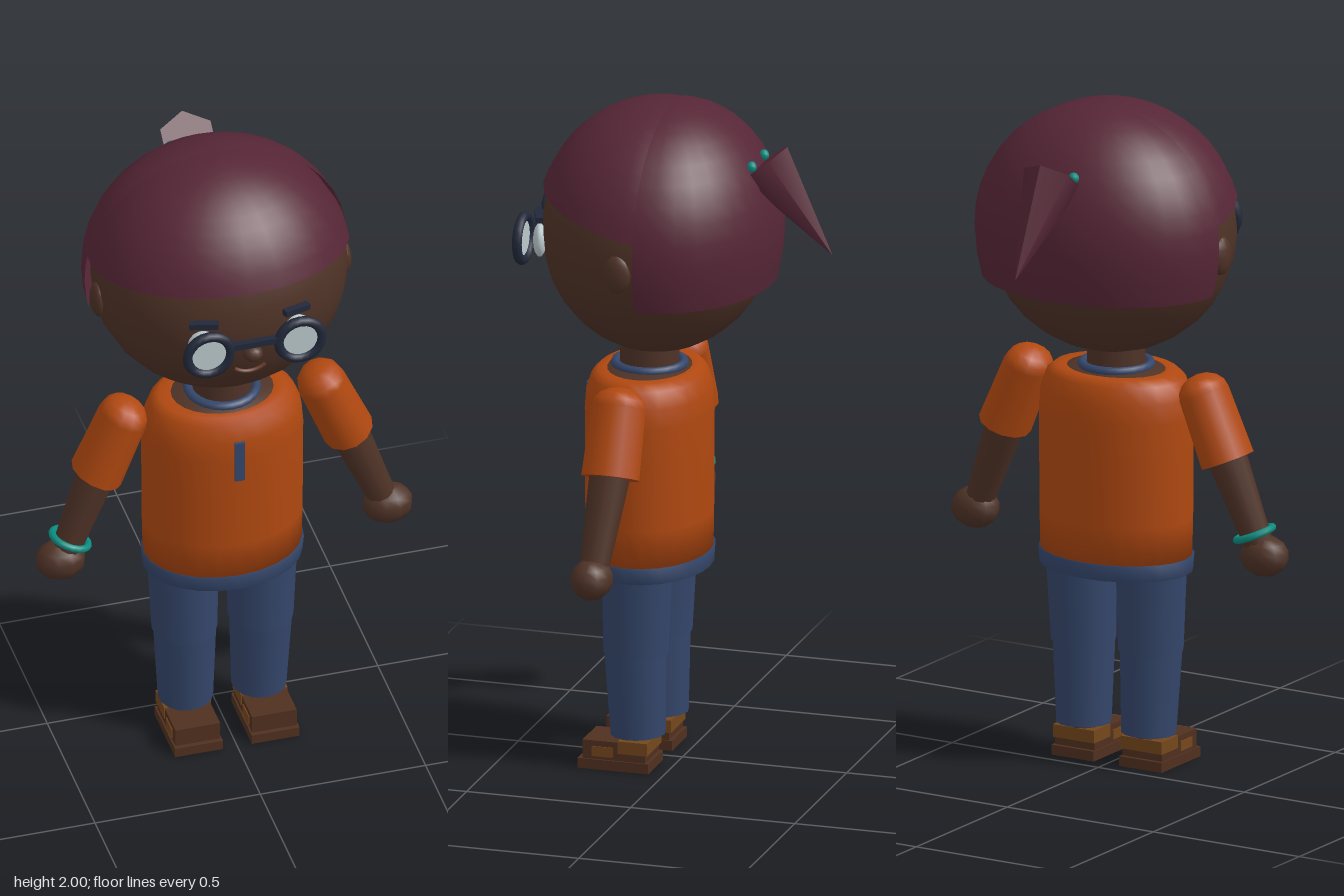
import * as THREE from 'three';

const mat = (name, color, side = THREE.FrontSide) => {
  const m = new THREE.MeshStandardMaterial({ color, side });
  m.name = name;
  return m;
};

export function createModel() {
  const model = new THREE.Group();
  model.name = 'child';
  const D = THREE.DoubleSide;
  const skin = mat('skin', 0x4e3226);
  const hair = mat('hair', 0x562636, D);
  const orange = mat('shirtOrange', 0xb04810, D);
  const denim = mat('denim', 0x34466a, D);
  const dark = mat('frameDark', 0x22283a);
  const light = mat('lensLight', 0xbac8cb, D);
  const teal = mat('teal', 0x0c8c80);
  const brown = mat('shoeBrown', 0x50301f);
  const tan = mat('strapTan', 0x74461c);
  const lip = mat('lip', 0x6a3a2c);

  const V = (x, y, z) => new THREE.Vector3(x, y, z);
  const UP = V(0, 1, 0);

  const add = (name, geo, material, x = 0, y = 0, z = 0, parent = model) => {
    const m = new THREE.Mesh(geo, material);
    m.name = name;
    m.position.set(x, y, z);
    parent.add(m);
    return m;
  };
  const box = (name, w, h, d, material, x, y, z) =>
    add(name, new THREE.BoxGeometry(w, h, d), material, x, y, z);
  const ball = (name, rx, ry, rz, material, x, y, z, ws = 20, hs = 14) =>
    add(name, new THREE.SphereGeometry(1, ws, hs).scale(rx, ry, rz), material, x, y, z);
  // Tapered tube from point a to point b
  const limb = (name, a, b, ra, rb, material, sides = 12, depth = 1) => {
    const dir = b.clone().sub(a);
    const geo = new THREE.CylinderGeometry(rb, ra, dir.length(), sides).scale(1, 1, depth);
    const mid = a.clone().add(b).multiplyScalar(0.5);
    const m = add(name, geo, material, mid.x, mid.y, mid.z);
    m.quaternion.setFromUnitVectors(UP, dir.normalize());
    return m;
  };
  // Oval turned shape: pairs of [radius, height]
  const lathe = (name, pts, material, depth, z) =>
    add(name, new THREE.LatheGeometry(pts.map(p => new THREE.Vector2(...p)), 24).scale(1, 1, depth),
      material, 0, 0, z);
  // Part of an ellipsoid, from the crown down to the angle endAt(azimuth)
  const shell = (name, a0, a1, cols, rows, rx, ry, rz, lowRy, endAt, material, y, z) => {
    const pos = [], idx = [];
    for (let i = 0; i <= cols; i++) {
      const a = a0 + (a1 - a0) * i / cols;
      for (let j = 0; j <= rows; j++) {
        const t = endAt(a) * j / rows, c = Math.cos(t), s = Math.sin(t);
        pos.push(rx * s * Math.sin(a), (c > 0 ? ry : lowRy) * c, rz * s * Math.cos(a));
        if (i < cols && j < rows) {
          const k = i * (rows + 1) + j, n = k + rows + 1;
          idx.push(k, k + 1, n + 1, k, n + 1, n);
        }
      }
    }
    const g = new THREE.BufferGeometry();
    g.setAttribute('position', new THREE.Float32BufferAttribute(pos, 3));
    g.setIndex(idx);
    g.computeVertexNormals();
    return add(name, g, material, 0, y, z);
  };

  // Head
  ball('head', 0.378, 0.363, 0.338, skin, 0, 1.613, 0.07, 24, 16);
  ball('nose', 0.03, 0.026, 0.03, skin, 0, 1.55, 0.422, 10, 8);
  const mouth = add('mouth', new THREE.TorusGeometry(0.07, 0.006, 5, 10, 1.5), lip, 0, 1.535, 0.393);
  mouth.rotation.z = -Math.PI / 2 - 0.75;

  // Hair: front cap with a sloping fringe, longer back shell
  const slope = 0.2 * 0.357;
  shell('hairFront', -Math.PI, Math.PI, 24, 10, 0.39, 0.38, 0.357, 0.38,
    a => {
      const b = slope * Math.cos(a);
      return Math.acos(0.064 / Math.hypot(0.38, b)) - Math.atan2(b, 0.38);
    }, hair, 1.62, 0.07);
  shell('hairBack', Math.PI / 2, Math.PI * 1.5, 16, 12, 0.396, 0.38, 0.32, 0.45,
    () => Math.acos(-0.15 / 0.45), hair, 1.62, 0.03);

  // Ponytail and its tie
  const tail = limb('ponytail', V(0, 1.84, -0.25), V(0, 1.58, -0.455), 0.088, 0.001, hair, 6);
  tail.geometry.computeVertexNormals();

  for (const s of [1, -1]) {
    ball('hairTie', 0.017, 0.017, 0.015, teal, s * 0.06, 1.843, -0.23, 8, 6);
    ball('ear', 0.024, 0.058, 0.042, skin, s * 0.37, 1.58, 0.083, 12, 8);

    // Eyes, brows and glasses
    const eye = ball('eye', 0.046, 0.05, 0.02, light, s * 0.14, 1.585, 0.391, 14, 8);
    eye.rotation.y = s * 0.3;
    const brow = box('brow', 0.085, 0.018, 0.022, dark, s * 0.14, 1.66, 0.394);
    brow.rotation.set(0, s * 0.35, -s * 0.08);
    add('glassesRim', new THREE.TorusGeometry(0.065, 0.015, 8, 20), dark, s * 0.138, 1.585, 0.441);
    const lens = add('lens', new THREE.CylinderGeometry(0.06, 0.06, 0.006, 20), light, s * 0.138, 1.585, 0.441);
    lens.rotation.x = Math.PI / 2;
  }
  box('glassesBridge', 0.15, 0.02, 0.02, dark, 0, 1.6, 0.441);

  // Neck, shirt and trim
  limb('neck', V(0, 1.15, 0.1), V(0, 1.3, 0.1), 0.088, 0.085, skin, 16);
  lathe('shoulderSkin', [[0.17, 1.17], [0.15, 1.19], [0.08, 1.197]], skin, 0.8, 0.1);
  const collar = add('collar', new THREE.TorusGeometry(0.1, 0.014, 8, 24), denim, 0, 1.198, 0.1);
  collar.rotation.x = Math.PI / 2;
  lathe('shirt', [[0.001, 0.625], [0.235, 0.625], [0.238, 0.75], [0.239, 0.95], [0.24, 1.06],
    [0.235, 1.12], [0.215, 1.17], [0.19, 1.19], [0.15, 1.188]], orange, 0.77, 0.1);
  lathe('hem', [[0.225, 0.59], [0.238, 0.59], [0.242, 0.637], [0.225, 0.64]], denim, 0.77, 0.1);
  box('placket', 0.03, 0.135, 0.012, denim, 0, 1.055, 0.283);

  for (const s of [1, -1]) {
    // Sleeve, arm and hand
    limb('sleeve', V(s * 0.3, 1.15, 0.1), V(s * 0.381, 0.96, 0.1), 0.072, 0.077, orange, 12, 1.15);
    const cap = ball('sleeveCap', 0.072, 0.06, 0.083, orange, s * 0.3, 1.15, 0.1, 12, 8);
    cap.rotation.z = s * 0.4;
    limb('arm', V(s * 0.365, 1.0, 0.1), V(s * 0.48, 0.71, 0.118), 0.062, 0.043, skin, 12);
    ball('hand', 0.076, 0.062, 0.062, skin, s * 0.495, 0.685, 0.12, 10, 7);

    // Trouser leg, thigh over shin
    limb('thigh', V(s * 0.115, 0.35, 0.105), V(s * 0.12, 0.62, 0.1), 0.096, 0.105, denim, 14);
    limb('shin', V(s * 0.111, 0.1, 0.1), V(s * 0.115, 0.355, 0.107), 0.081, 0.092, denim, 14);
    limb('ankle', V(s * 0.112, 0.06, 0.1), V(s * 0.112, 0.13, 0.1), 0.05, 0.05, skin, 10);

    // Shoe
    const x = s * 0.116;
    box('sole', 0.145, 0.03, 0.215, brown, x, 0.015, 0.153);
    box('shoeUpper', 0.135, 0.056, 0.19, brown, x, 0.058, 0.152);
    box('sideStrap', 0.141, 0.03, 0.062, tan, x, 0.054, 0.187);
    box('heelStrap', 0.141, 0.038, 0.09, tan, x, 0.072, 0.095);
  }

  // Bracelet on the right wrist
  const bracelet = add('bracelet', new THREE.TorusGeometry(0.056, 0.011, 8, 18), teal, -0.464, 0.748, 0.115);
  bracelet.quaternion.setFromUnitVectors(V(0, 0, 1), V(-0.115, -0.29, 0.018).normalize());

  return model;
}
